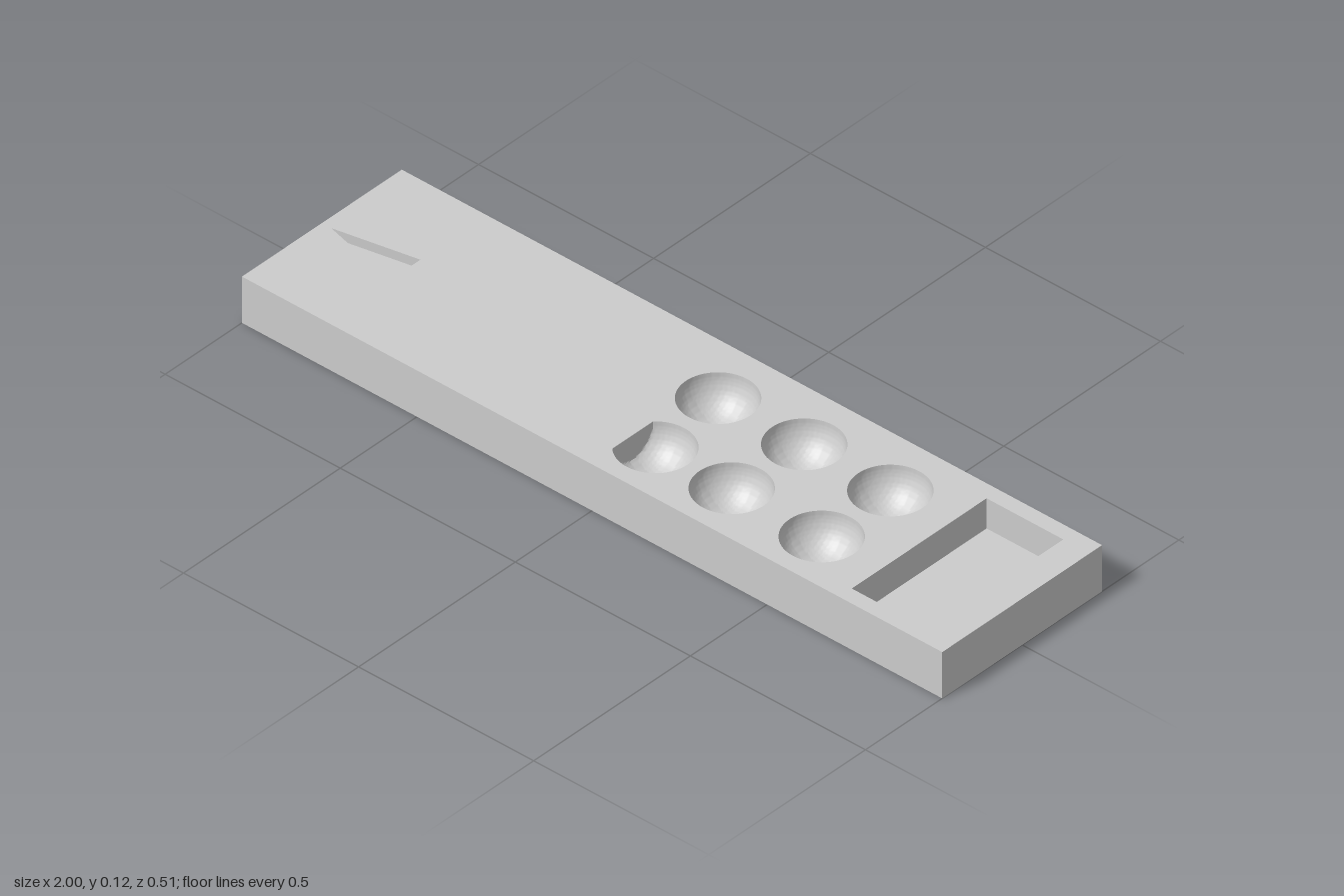
import * as THREE from 'three';
import { toCreasedNormals } from 'three/addons/utils/BufferGeometryUtils.js';

const H = 0.123, HALF_X = 1, HALF_Z = 0.255;
const R = 0.092, SEG = 96;

// Dimple centres; clip is the x offset of a flat side wall
const DIMPLES = [
  { x: 0.043, z: -0.099 }, { x: 0.289, z: -0.099 }, { x: 0.535, z: -0.099 },
  { x: 0.06, z: 0.12, clip: -0.065 }, { x: 0.278, z: 0.12 }, { x: 0.535, z: 0.12 },
];

// Flat-bottomed recesses, outlines as [x, z]
const POCKETS = [
  { name: 'rectangularPocket', depth: 0.08,
    outline: [[0.706, -0.215], [0.925, -0.215], [0.925, 0.215], [0.706, 0.215]] },
  { name: 'arrowPocket', depth: 0.024,
    outline: [[-0.973, 0], [-0.757, -0.043], [-0.757, 0.056]] },
];

const toPoints = (outline) => outline.map(([x, z]) => new THREE.Vector2(x, -z));

function dimpleOutline({ x, z, clip = -R }) {
  return Array.from({ length: SEG }, (_, i) => {
    const a = (i / SEG) * Math.PI * 2;
    return [x + Math.max(clip, R * Math.cos(a)), z + R * Math.sin(a)];
  });
}

// Horizontal face at height y
function flatFace(shape, y) {
  return new THREE.ShapeGeometry(shape).rotateX(-Math.PI / 2).translate(0, y, 0);
}

// Upright walls following a closed outline between two heights
function wallStrip(outline, y0, y1) {
  const pos = [];
  outline.forEach(([ax, az], i) => {
    const [bx, bz] = outline[(i + 1) % outline.length];
    pos.push(ax, y0, az, ax, y1, az, bx, y1, bz);
    pos.push(ax, y0, az, bx, y1, bz, bx, y0, bz);
  });
  const geo = new THREE.BufferGeometry();
  geo.setAttribute('position', new THREE.Float32BufferAttribute(pos, 3));
  geo.computeVertexNormals();
  return geo;
}

// Hemispherical bowl, flattened where it is clipped
function bowl({ clip = -R }) {
  const geo = new THREE.SphereGeometry(R, SEG, 32, 0, Math.PI * 2, Math.PI / 2, Math.PI / 2);
  const p = geo.attributes.position;
  for (let i = 0; i < p.count; i++) p.setX(i, Math.max(clip, p.getX(i)));
  // Turn the faces inward
  const idx = geo.index.array;
  for (let i = 0; i < idx.length; i += 3) [idx[i], idx[i + 1]] = [idx[i + 1], idx[i]];
  return toCreasedNormals(geo, 0.5);
}

export function createModel() {
  const group = new THREE.Group();
  const mat = new THREE.MeshStandardMaterial({ color: 0xcccccc });
  const add = (name, geo, parent = group) => {
    const mesh = new THREE.Mesh(geo, mat);
    mesh.name = name;
    parent.add(mesh);
    return mesh;
  };

  // Board: top with openings, sides and underside
  const rim = [[-HALF_X, HALF_Z], [HALF_X, HALF_Z], [HALF_X, -HALF_Z], [-HALF_X, -HALF_Z]];
  const top = new THREE.Shape(toPoints(rim));
  const openings = [...DIMPLES.map(dimpleOutline), ...POCKETS.map((p) => p.outline)];
  openings.forEach((o) => top.holes.push(new THREE.Path(toPoints(o))));
  const board = new THREE.Group();
  board.name = 'board';
  group.add(board);
  add('boardTop', flatFace(top, H), board);
  add('boardSides', wallStrip([...rim].reverse(), 0, H), board);
  add('boardUnderside',
    new THREE.PlaneGeometry(2 * HALF_X, 2 * HALF_Z).rotateX(Math.PI / 2), board);

  // Round dimples
  DIMPLES.forEach((d, i) => {
    add(`dimple${i + 1}`, bowl(d)).position.set(d.x, H, d.z);
  });

  // Rectangular and arrow recesses
  for (const { name, depth, outline } of POCKETS) {
    const pocket = new THREE.Group();
    pocket.name = name;
    group.add(pocket);
    add(`${name}Floor`, flatFace(new THREE.Shape(toPoints(outline)), H - depth), pocket);
    add(`${name}Walls`, wallStrip([...outline].reverse(), H - depth, H), pocket);
  }
  return group;
}
